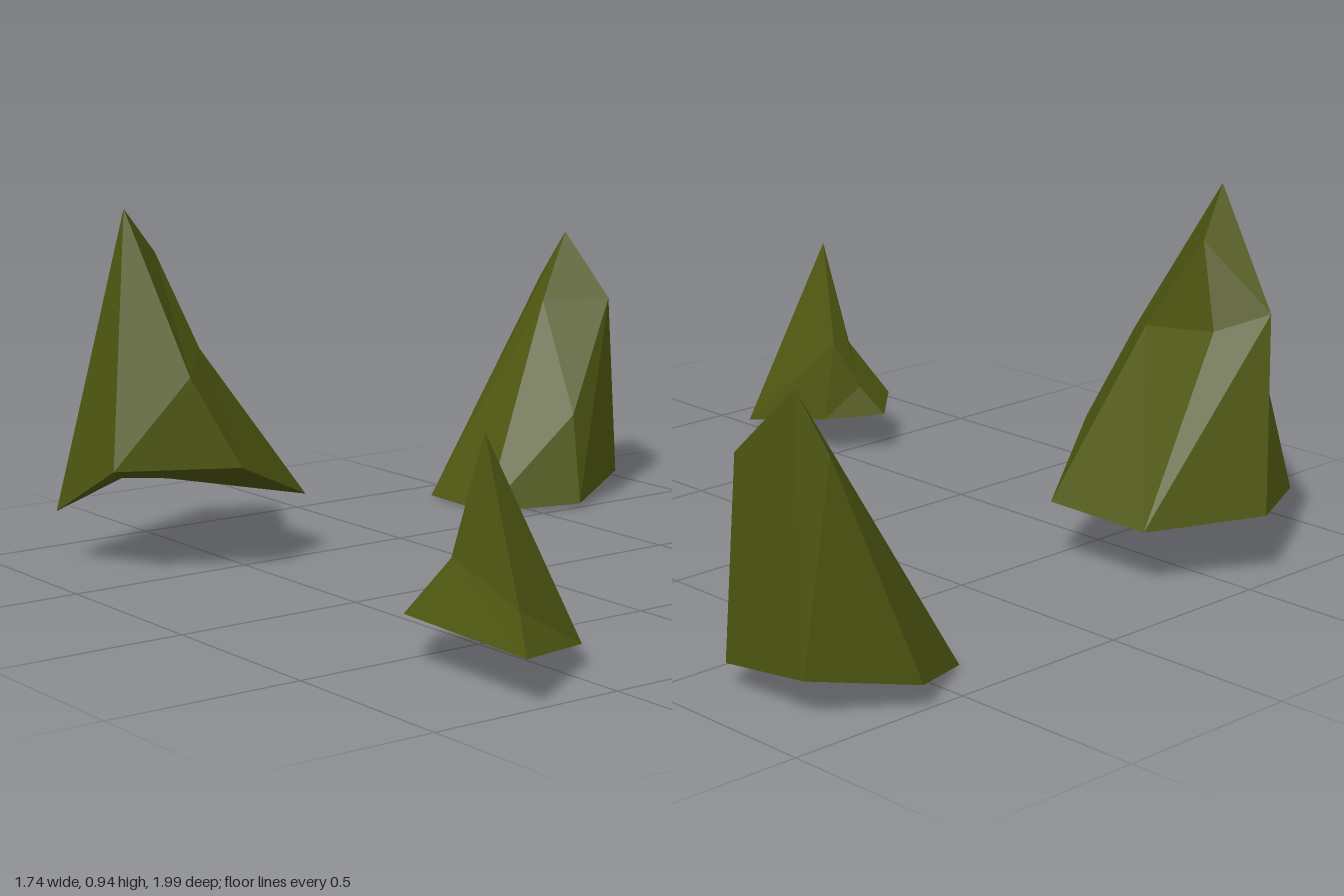
import * as THREE from 'three';
import { ConvexGeometry } from 'three/addons/geometries/ConvexGeometry.js';

// Closed shard: the first `sides` points form the base ring, faces wrap the flanks
function shard(points, sides, faces) {
  const index = faces.flat();
  for (let i = 1; i < sides - 1; i++) index.push(0, i + 1, i);
  const geo = new THREE.BufferGeometry();
  geo.setAttribute('position', new THREE.Float32BufferAttribute(points.flat(), 3));
  geo.setIndex(index);
  const flat = geo.toNonIndexed();
  flat.computeVertexNormals();
  return flat;
}

export function createModel() {
  const group = new THREE.Group();
  const olive = new THREE.MeshStandardMaterial({ name: 'oliveStone', color: 0x4f5711, flatShading: true });
  const add = (name, geo) => {
    const mesh = new THREE.Mesh(geo, olive);
    mesh.name = name;
    group.add(mesh);
  };

  // Tall shard with a notched flank
  add('tallShard', shard([
    [-0.87, 0.295, -0.525], [-0.585, 0.295, -0.372], [-0.29, 0.163, -0.525],
    [-0.3, 0.155, -0.825], [-0.585, 0.17, -0.975], [-0.87, 0.143, -0.825],
    [-0.695, 0.53, -0.435], [-0.585, 0.577, -0.565], [-0.595, 0.6, -0.778],
    [-0.685, 0.65, -0.884], [-0.624, 0.816, -0.712], [-0.737, 0.94, -0.672],
  ], 6, [
    [0, 1, 6], [0, 6, 11], [1, 2, 7], [1, 7, 6], [6, 7, 10], [6, 10, 11],
    [2, 3, 7], [3, 8, 7], [7, 8, 10], [3, 4, 9], [3, 9, 8], [8, 9, 10],
    [10, 9, 11], [4, 11, 9], [4, 5, 11], [5, 0, 11],
  ]));

  // Leaning convex shard
  add('leaningShard', new ConvexGeometry([
    [0.384, 0.005, -0.614], [0.622, 0.02, -0.485], [0.86, 0.066, -0.61],
    [0.86, 0.1, -0.87], [0.622, 0.065, -1], [0.384, 0.01, -0.874],
    [0.7, 0.567, -0.751], [0.642, 0.267, -0.54], [0.865, 0.572, -0.652],
    [0.823, 0.615, -0.915], [0.847, 0.751, -0.829],
  ].map((p) => new THREE.Vector3(...p))));

  // Small shard with a low pointed toe
  add('smallShard', shard([
    [-0.748, 0.118, 0.993], [-0.427, 0.055, 0.79], [-0.468, 0.107, 0.515],
    [-0.606, 0.118, 0.415], [-0.748, 0.127, 0.545],
    [-0.637, 0.172, 0.827], [-0.508, 0.32, 0.518], [-0.563, 0.195, 0.471],
    [-0.683, 0.27, 0.645], [-0.642, 0.558, 0.71],
  ], 5, [
    [0, 1, 5], [1, 9, 5], [1, 6, 9], [1, 2, 6], [2, 7, 6], [2, 3, 7], [6, 7, 9],
    [3, 4, 7], [4, 8, 7], [7, 8, 9], [4, 0, 8], [0, 5, 8], [5, 9, 8],
  ]));

  return group;
}
